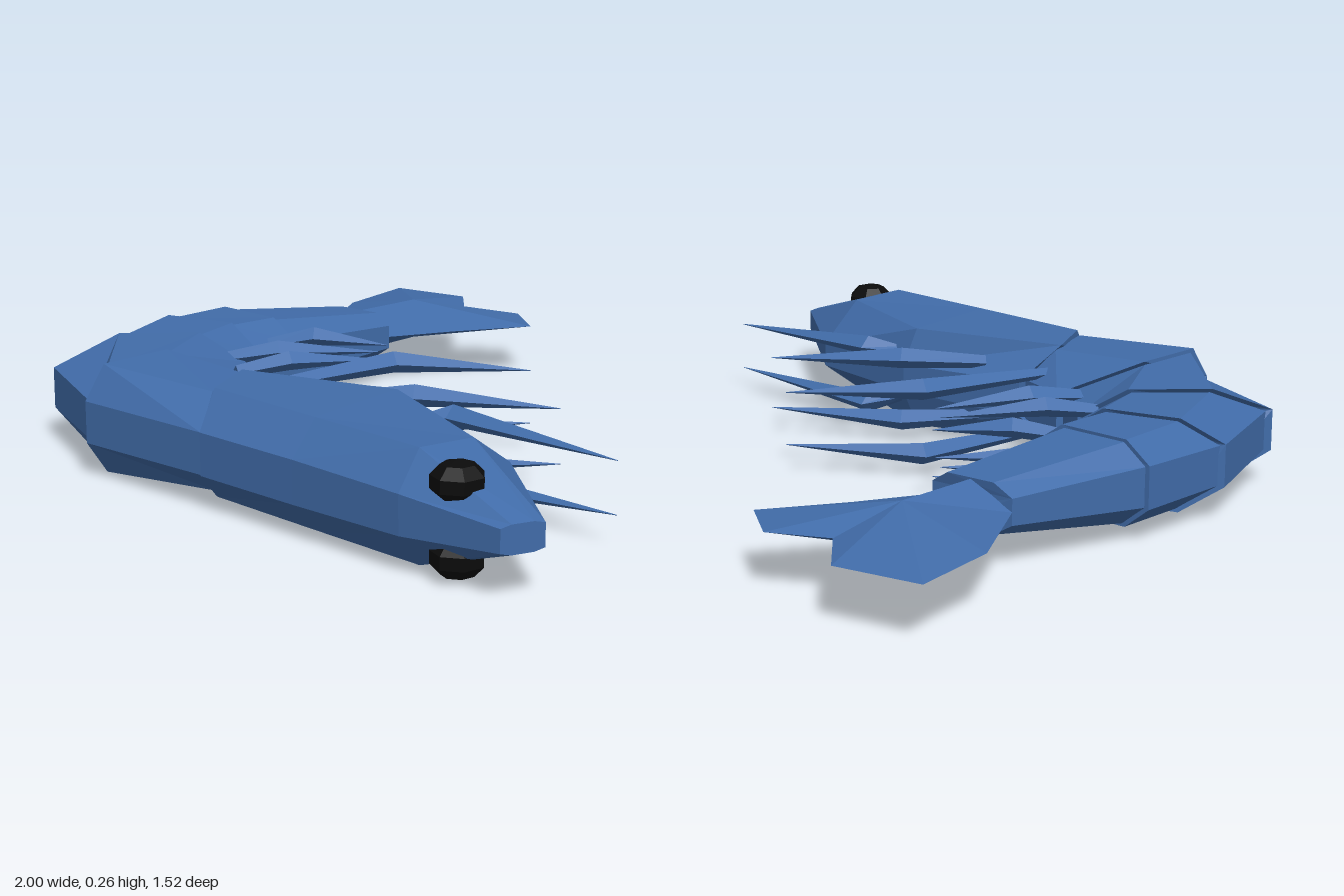
import * as THREE from 'three';

const MID = 0.13; // height of the symmetry plane of the body, which lies on its side

const shell = new THREE.MeshStandardMaterial({ color: 0x416ca9, flatShading: true });
shell.name = 'blue shell';
const black = new THREE.MeshStandardMaterial({ color: 0x0b0b0b, flatShading: true });
black.name = 'black';

// Mesh from triangles of Vector3, turned outward by the sign of the enclosed volume
function solid(name, tris, material = shell) {
  let volume = 0;
  for (const [a, b, c] of tris) volume += a.dot(b.clone().cross(c));
  const points = tris.flatMap(([a, b, c]) => (volume < 0 ? [a, c, b] : [a, b, c]));
  const geometry = new THREE.BufferGeometry().setFromPoints(points);
  geometry.computeVertexNormals();
  const mesh = new THREE.Mesh(geometry, material);
  mesh.name = name;
  return mesh;
}

// Closed loft through rings with the same number of points
function loft(name, rings) {
  const tris = [];
  const n = rings[0].length;
  for (let r = 0; r < rings.length - 1; r++) {
    for (let i = 0; i < n; i++) {
      const j = (i + 1) % n, p = rings[r], q = rings[r + 1];
      tris.push([p[i], p[j], q[j]], [p[i], q[j], q[i]]);
    }
  }
  const first = rings[0], last = rings[rings.length - 1];
  for (let i = 1; i < n - 1; i++) {
    tris.push([first[0], first[i + 1], first[i]], [last[0], last[i], last[i + 1]]);
  }
  return solid(name, tris);
}

// Eight-sided ring from [x, z, half height] of back, upper flank, lower flank and belly
function ring(profile) {
  const half = (s) => profile.map(([x, z, h]) => new THREE.Vector3(x, MID + s * h, z));
  return [...half(1), ...half(-1).reverse()];
}

// The same ring shrunk about its centre, so a segment tucks under its neighbour
function tucked(profile, k) {
  const cx = profile.reduce((s, p) => s + p[0], 0) / 4;
  const cz = profile.reduce((s, p) => s + p[1], 0) / 4;
  return profile.map(([x, z, h]) => [cx + (x - cx) * k, cz + (z - cz) * k, h * k]);
}

// Four-sided spike through [x, z, y offset, half width] points
function spike(name, path, side) {
  const rings = path.map(([x, z, y, w], i) => {
    const a = path[Math.max(i - 1, 0)], b = path[Math.min(i + 1, path.length - 1)];
    const d = new THREE.Vector2(b[0] - a[0], b[1] - a[1]).normalize();
    const at = (u, v) => new THREE.Vector3(x - d.y * u, MID + side * y + v, z + d.x * u);
    return [at(w, 0), at(0, w * 0.8), at(-w, 0), at(0, -w * 0.8)];
  });
  return loft(name, rings);
}

export function createModel() {
  const model = new THREE.Group();
  model.name = 'shrimp';

  // Head and carapace, from the rear rim to the blunt snout
  model.add(loft('carapace', [
    [[0.1, 0.69, 0.05], [0.04, 0.61, 0.127], [-0.06, 0.47, 0.127], [-0.03, 0.36, 0.045]],
    [[0.4, 0.65, 0.05], [0.38, 0.575, 0.127], [0.3, 0.295, 0.127], [0.31, 0.26, 0.035]],
    [[0.72, 0.61, 0.045], [0.7, 0.54, 0.127], [0.69, 0.39, 0.12], [0.64, 0.25, 0.03]],
    [[0.98, 0.555, 0.026], [0.985, 0.53, 0.032], [0.995, 0.48, 0.032], [1, 0.455, 0.026]],
  ].map(ring)));

  // Curled abdomen of overlapping segments
  const joints = [
    [[0.1, 0.69, 0.05], [0.03, 0.61, 0.118], [-0.05, 0.46, 0.118], [-0.04, 0.37, 0.05]],
    [[-0.285, 0.755, 0.05], [-0.29, 0.7, 0.13], [-0.32, 0.51, 0.13], [-0.19, 0.345, 0.05]],
    [[-0.61, 0.655, 0.05], [-0.575, 0.49, 0.118], [-0.46, 0.33, 0.118], [-0.37, 0.255, 0.05]],
    [[-0.765, 0.35, 0.05], [-0.7, 0.27, 0.11], [-0.53, 0.19, 0.11], [-0.44, 0.17, 0.05]],
    [[-0.79, 0.095, 0.05], [-0.73, 0.08, 0.1], [-0.55, 0.05, 0.1], [-0.48, 0.035, 0.05]],
    [[-0.745, -0.255, 0.03], [-0.7, -0.27, 0.058], [-0.58, -0.3, 0.058], [-0.535, -0.305, 0.03]],
  ];
  for (let i = 0; i < joints.length - 1; i++) {
    const front = tucked(joints[i], i === 0 ? 0.98 : 0.93);
    model.add(loft('abdomenSegment' + (i + 1), [ring(front), ring(joints[i + 1])]));
  }

  // Forked tail fan: sharp rim with a raised middle on both faces
  const rim = [
    [-0.745, -0.255], [-0.925, -0.47], [-1, -0.69], [-0.8, -0.765], [-0.66, -0.66],
    [-0.54, -0.75], [-0.4, -0.68], [-0.48, -0.48], [-0.535, -0.305],
  ].map(([x, z]) => new THREE.Vector3(x, MID, z));
  const fan = [];
  for (const s of [1, -1]) {
    const root = new THREE.Vector3(-0.64, MID + s * 0.055, -0.28);
    const hump = new THREE.Vector3(-0.67, MID + s * 0.052, -0.49);
    const add = (a, b, c) => fan.push(s > 0 ? [a, b, c] : [a, c, b]);
    for (let i = 0; i < rim.length - 1; i++) add(hump, rim[i + 1], rim[i]);
    add(hump, rim[0], root);
    add(hump, root, rim[8]);
    add(root, rim[0], rim[8]);
  }
  model.add(solid('tailFan', fan));

  // Walking legs with a knee, and short swimming legs, in mirrored pairs
  const legs = [
    [[0.35, 0.29, 0.06, 0.015], [0.4, 0.215, 0.075, 0.032], [0.85, 0.13, 0.06, 0.001]],
    [[0.1, 0.36, 0.07, 0.02], [0.225, 0.19, 0.08, 0.033], [0.475, -0.035, 0.065, 0.001]],
    [[-0.08, 0.41, 0.07, 0.016], [-0.055, 0.04, 0.08, 0.033], [0.165, -0.205, 0.065, 0.001]],
    [[-0.27, 0.35, 0.06, 0.02], [-0.235, 0.22, 0.075, 0.03], [-0.155, 0, 0.06, 0.001]],
    [[-0.4, 0.29, 0.06, 0.02], [-0.34, 0.18, 0.075, 0.03], [-0.225, -0.04, 0.06, 0.001]],
    [[-0.49, 0.11, 0.05, 0.02], [-0.42, 0.015, 0.07, 0.03], [-0.285, -0.11, 0.055, 0.001]],
  ];
  for (const side of [1, -1]) {
    const suffix = side > 0 ? 'Upper' : 'Lower';
    legs.forEach((path, i) => {
      model.add(spike((i < 3 ? 'walkingLeg' : 'swimmingLeg') + ((i % 3) + 1) + suffix, path, side));
    });

    // Faceted eye
    const eye = new THREE.Mesh(new THREE.SphereGeometry(0.062, 7, 5), black);
    eye.name = 'eye' + suffix;
    eye.position.set(0.815, MID + side * 0.08, 0.53);
    eye.scale.set(1, 0.75, 1);
    model.add(eye);
  }
  return model;
}
